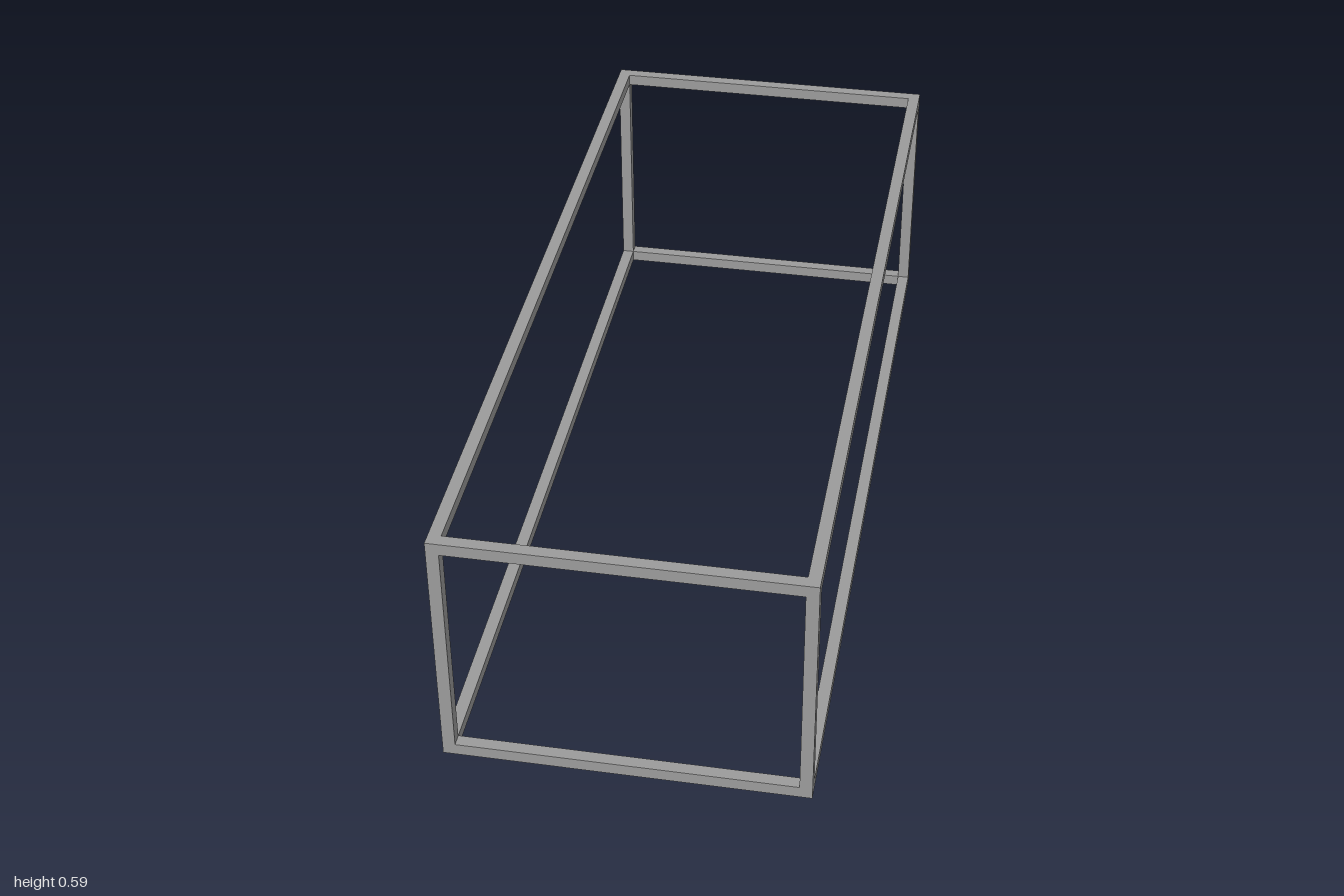
import * as THREE from 'three';

// Overall size and bar thickness
const W = 0.802, H = 0.587, D = 2, T = 0.028;

export function createModel() {
  const group = new THREE.Group();
  group.name = 'boxFrame';
  const material = new THREE.MeshStandardMaterial({ color: 0x9b9b9b });

  const addBar = (name, size, position) => {
    const bar = new THREE.Mesh(new THREE.BoxGeometry(...size), material);
    bar.name = name;
    bar.position.set(...position);
    group.add(bar);
  };

  const x = (W - T) / 2, z = (D - T) / 2;
  const sides = [['Left', 1], ['Right', -1]];
  const ends = [['Front', 1], ['Back', -1]];
  const levels = [['bottom', T / 2], ['top', H - T / 2]];

  // Corner posts, full height
  for (const [end, ez] of ends)
    for (const [side, sx] of sides)
      addBar(`post${end}${side}`, [T, H, T], [sx * x, H / 2, ez * z]);

  // Rails fitted between the posts at the bottom and top
  for (const [level, y] of levels) {
    for (const [side, sx] of sides)
      addBar(`${level}Rail${side}`, [T, T, D - 2 * T], [sx * x, y, 0]);
    for (const [end, ez] of ends)
      addBar(`${level}Rail${end}`, [W - 2 * T, T, T], [0, y, ez * z]);
  }

  return group;
}
